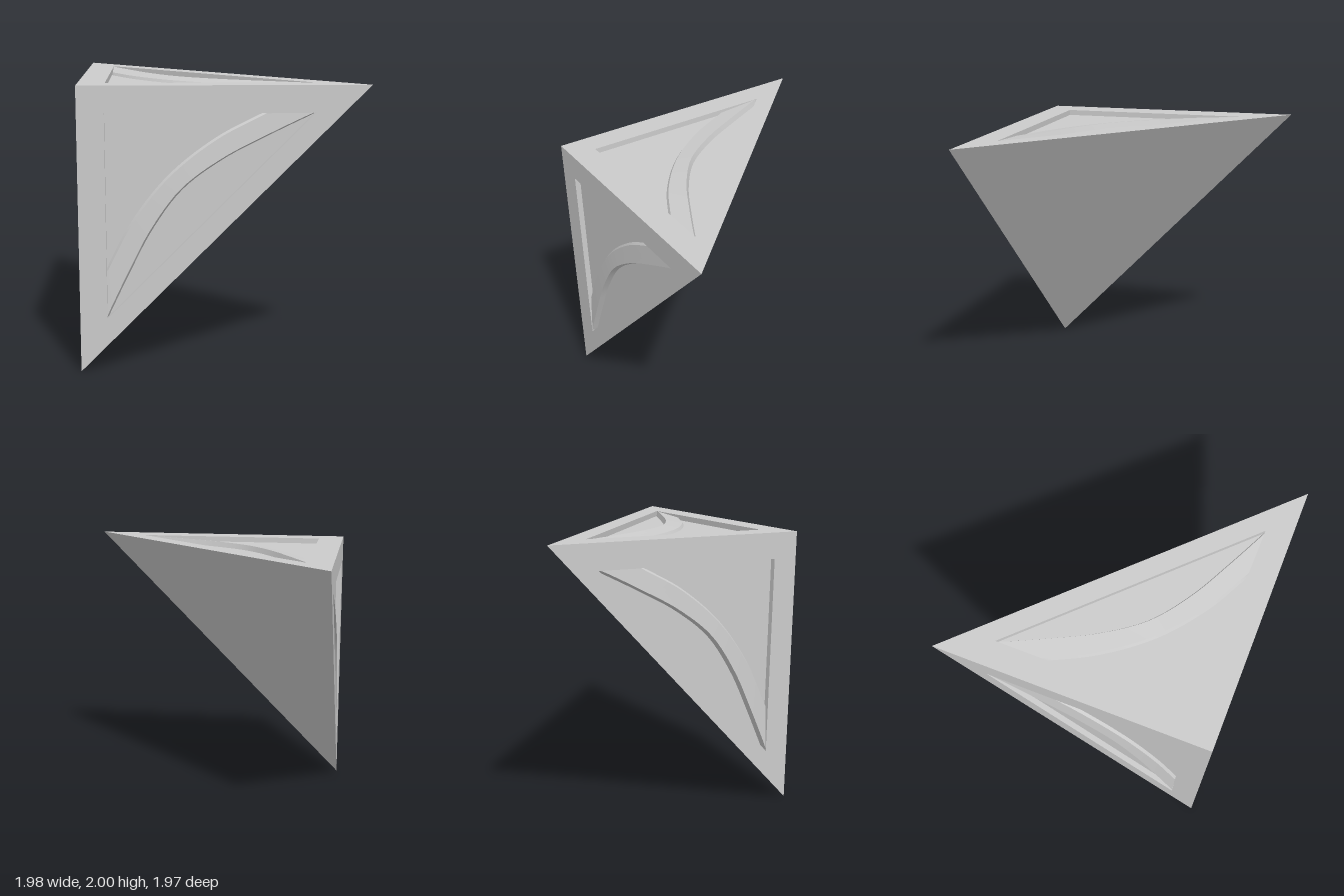
import * as THREE from 'three';
import { toCreasedNormals } from 'three/addons/utils/BufferGeometryUtils.js';

const V = (x, y, z) => new THREE.Vector3(x, y, z);
// Tetrahedron corners: the square corner and the three tips
const corner = V(-0.98, 1.97, 0.98);
const tipX = V(0.99, 1.97, 0.975);
const tipDown = V(-0.98, 0, 0.945);
const tipBack = V(-0.99, 2, -0.99);

const EDGE = 1.97, DEPTH = 0.04;
const panelOutline = [[0.185, 0.185], [1.595, 0.185], [0.185, 1.595]];
const material = new THREE.MeshStandardMaterial({ color: 0xcccccc });

function mesh(name, geometry) {
  const m = new THREE.Mesh(geometry, material);
  m.name = name;
  return m;
}

// Skin a list of equally long rows of points
function skin(rows) {
  const pos = [];
  for (let r = 0; r < rows.length - 1; r++) {
    const a = rows[r], b = rows[r + 1];
    for (let i = 0; i < a.length - 1; i++) {
      for (const p of [a[i], a[i + 1], b[i], a[i + 1], b[i + 1], b[i]]) pos.push(p.x, p.y, p.z);
    }
  }
  const g = new THREE.BufferGeometry();
  g.setAttribute('position', new THREE.Float32BufferAttribute(pos, 3));
  return toCreasedNormals(g, 0.3);
}

// Smooth arc, symmetric about the face diagonal, from half of its points
function arc(half, middle, shift, height) {
  const pts = [...half, [middle, middle], ...half.map(([u, v]) => [v, u]).reverse()];
  const curve = new THREE.CatmullRomCurve3(pts.map(([u, v]) => V(u, v, 0)));
  return curve.getPoints(32).map((p) => V(
    Math.max(p.x + shift, 0.185), Math.max(p.y + shift, 0.185), height));
}

function triangle(points) {
  return points.map(([u, v]) => new THREE.Vector2(u, v));
}

// One right-angled face: flat border, sunken panel and curved rib
function createFace(name, p, q) {
  const face = new THREE.Group();
  face.name = name;

  const border = new THREE.Shape(triangle([[0, 0], [EDGE, 0], [0, EDGE]]));
  border.holes.push(new THREE.Path(triangle(panelOutline)));
  face.add(mesh('border', new THREE.ShapeGeometry(border)));

  const floor = new THREE.ShapeGeometry(new THREE.Shape(triangle(panelOutline)));
  floor.translate(0, 0, -DEPTH);
  face.add(mesh('panelFloor', floor));

  const loop = [...panelOutline, panelOutline[0]];
  face.add(mesh('panelWalls', skin([0, -DEPTH].map((h) => loop.map(([u, v]) => V(u, v, h))))));

  // Rib rises from the inner arc to nearly flush at the outer arc
  const inner = [[0.185, 1.26], [0.36, 0.93]];
  const outer = [[0.188, 1.585], [0.34, 1.27], [0.495, 0.975]];
  face.add(mesh('curvedRib', skin([
    arc(inner, 0.612, -0.005, -DEPTH),
    arc(inner, 0.612, 0.005, -DEPTH * 0.5),
    arc(outer, 0.7, -0.006, -0.002),
    arc(outer, 0.7, 0.004, -DEPTH),
  ])));

  // Place the face so that it spans corner, p and q
  const e1 = p.clone().sub(corner).divideScalar(EDGE);
  const e2 = q.clone().sub(corner).divideScalar(EDGE);
  const n = e1.clone().cross(e2).normalize();
  const matrix = new THREE.Matrix4().makeBasis(e1, e2, n).setPosition(corner);
  face.children.forEach((m) => m.geometry.applyMatrix4(matrix));
  return face;
}

export function createModel() {
  const model = new THREE.Group();
  model.name = 'cornerTetrahedron';
  model.add(createFace('frontFace', tipDown, tipX));
  model.add(createFace('topFace', tipX, tipBack));
  model.add(createFace('rightFace', tipBack, tipDown));

  // Plain sloping face closing the solid
  const slope = new THREE.BufferGeometry().setFromPoints([tipX, tipDown, tipBack]);
  slope.computeVertexNormals();
  model.add(mesh('slopingFace', slope));
  return model;
}
